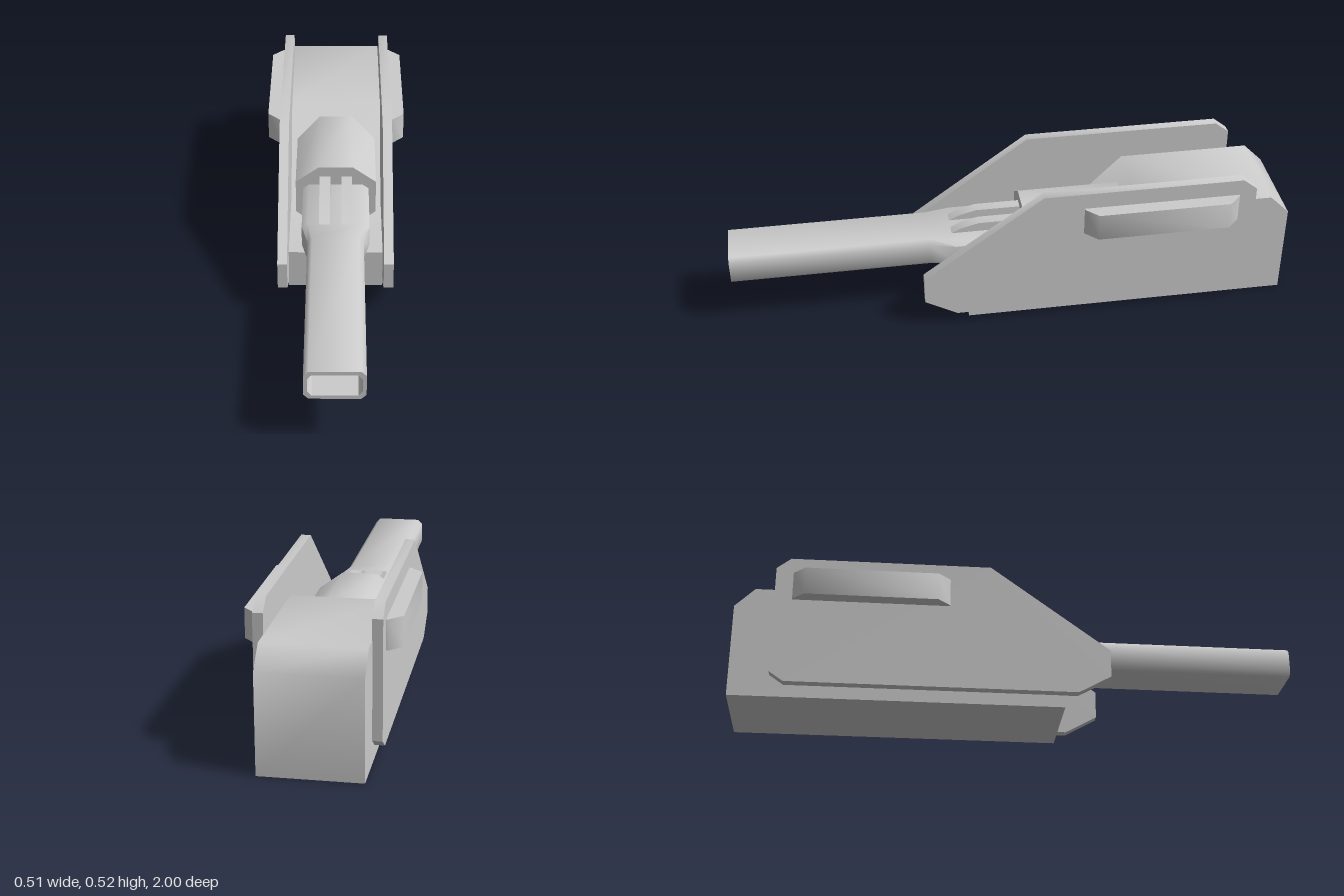
import * as THREE from 'three';
import { toCreasedNormals } from 'three/addons/utils/BufferGeometryUtils.js';

const grey = new THREE.MeshStandardMaterial({ color: 0xcccccc });
const CREASE = 0.82;

function addMesh(group, name, geometry) {
  const mesh = new THREE.Mesh(toCreasedNormals(geometry, CREASE), grey);
  mesh.name = name;
  group.add(mesh);
  return mesh;
}

// Side profile given as [z, y] points, extruded along x from x0 by the given width
function sideExtrude(profile, x0, width) {
  const shape = new THREE.Shape(profile.map(([z, y]) => new THREE.Vector2(-z, y)));
  const geometry = new THREE.ExtrudeGeometry(shape, { depth: width, bevelEnabled: false });
  return geometry.rotateY(Math.PI / 2).translate(x0, 0, 0);
}

// Joins counter-clockwise outlines { z, points } into a closed solid
function loft(sections) {
  const n = sections[0].points.length;
  const positions = sections.flatMap(s => s.points.flatMap(([x, y]) => [x, y, s.z]));
  const index = [];
  for (let s = 0; s < sections.length - 1; s++) {
    for (let i = 0; i < n; i++) {
      const a = s * n + i, b = s * n + (i + 1) % n;
      index.push(a, b, b + n, a, b + n, a + n);
    }
  }
  const last = (sections.length - 1) * n;
  for (let i = 1; i < n - 1; i++) {
    index.push(0, i + 1, i, last, last + i, last + i + 1);
  }
  const geometry = new THREE.BufferGeometry();
  geometry.setAttribute('position', new THREE.Float32BufferAttribute(positions, 3));
  geometry.setIndex(index);
  return geometry;
}

// Rectangle with cut corners, centred on x = 0
function cutRect(halfWidth, bottom, top, cutX, cutY) {
  const w = halfWidth, v = halfWidth - cutX;
  return [
    [v, bottom], [w, bottom + cutY], [w, top - cutY], [v, top],
    [-v, top], [-w, top - cutY], [-w, bottom + cutY], [-v, bottom],
  ];
}

const rect = (w, h) => [[w, -h], [w, h], [-w, h], [-w, -h]];

export function createModel() {
  const model = new THREE.Group();
  model.name = 'turret';

  // Central housing with low front deck and sloped face
  addMesh(model, 'housing', sideExtrude([
    [0.165, 0], [0.165, 0.147], [-0.193, 0.147], [-0.456, 0.41],
    [-0.93, 0.41], [-1, 0.34], [-1, 0],
  ], -0.17, 0.34));

  // Collar around the barrel root
  const collar = [
    [0.122, 0.16], [0.147, 0.18], [0.147, 0.31], [0.062, 0.372],
    [-0.062, 0.372], [-0.147, 0.31], [-0.147, 0.18], [-0.122, 0.16],
  ];
  addMesh(model, 'collar', loft([{ z: -0.43, points: collar }, { z: -0.05, points: collar }]));

  // Barrel: wide root, taper, long tube, hollow muzzle
  const root = cutRect(0.12, 0.19, 0.298, 0.022, 0.016);
  const tube = cutRect(0.098, 0.19, 0.298, 0.016, 0.016);
  const bore = cutRect(0.086, 0.204, 0.284, 0.013, 0.016);
  addMesh(model, 'barrel', loft([
    { z: -0.1, points: root }, { z: 0.2, points: root },
    { z: 0.29, points: tube }, { z: 1, points: tube },
    { z: 1, points: bore }, { z: 0.9, points: bore },
  ]));

  // Two ribs on top of the barrel root
  const rib = [[-0.1, 0.28], [0.215, 0.28], [0.215, 0.295], [0.175, 0.315], [0.11, 0.332], [-0.1, 0.332]];
  for (const x of [-0.059, 0.02]) {
    addMesh(model, 'barrelRib', sideExtrude(rib, x, 0.039));
  }

  // Side plates, each with a tapered outer pod
  const plate = [
    [0.325, 0.21], [-0.1, 0.52], [-0.81, 0.52], [-0.86, 0.48],
    [-0.86, 0.08], [-0.81, 0.045], [0.21, 0.045], [0.325, 0.11],
  ];
  for (const side of [1, -1]) {
    const label = side > 0 ? 'left' : 'right';
    addMesh(model, label + 'Plate', sideExtrude(plate, side > 0 ? 0.169 : -0.203, 0.034));
    const pod = addMesh(model, label + 'Pod', loft([
      { z: 0.19, points: rect(0.277, 0.051) },
      { z: 0.21, points: rect(0.277, 0.051) },
      { z: 0.253, points: rect(0.234, 0.051) },
    ]));
    pod.rotation.y = side * Math.PI / 2;
    pod.position.set(0, 0.409, -0.521);
  }

  return model;
}
